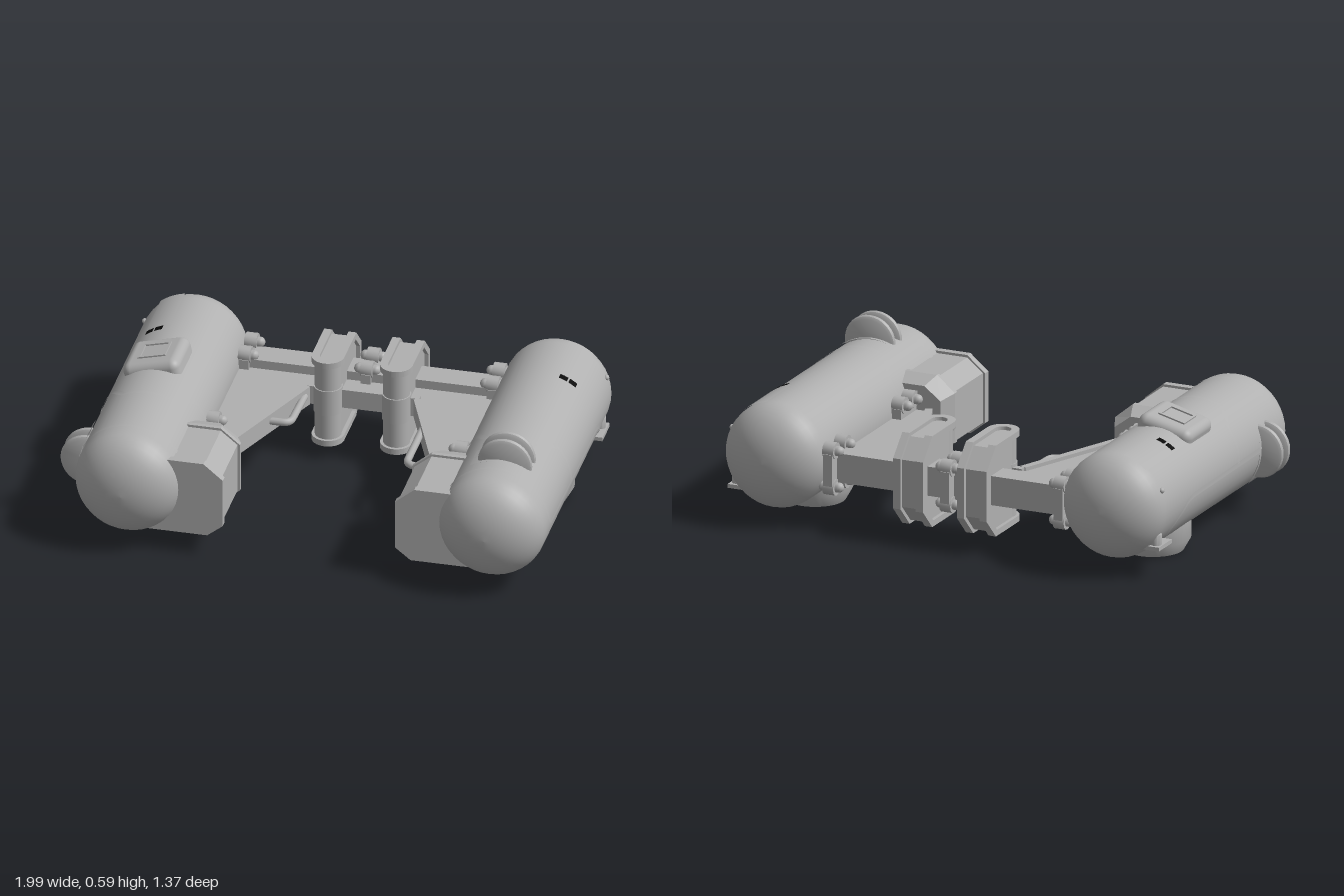
import * as THREE from 'three';
import { toCreasedNormals } from 'three/addons/utils/BufferGeometryUtils.js';
import { RoundedBoxGeometry } from 'three/addons/geometries/RoundedBoxGeometry.js';

const grey = new THREE.MeshStandardMaterial({ color: 0xb0b0b0, side: THREE.DoubleSide });
grey.name = 'grey';
const black = new THREE.MeshStandardMaterial({ color: 0x080808, side: THREE.DoubleSide });
black.name = 'black';

const R = 0.215, TX = 0.733, TY = 0.28; // tank radius and centre
const rad = THREE.MathUtils.degToRad;

function add(parent, name, geo, x = 0, y = 0, z = 0, mat = grey) {
  const m = new THREE.Mesh(geo, mat);
  m.name = name;
  m.position.set(x, y, z);
  parent.add(m);
  return m;
}
const box = (w, h, d) => new THREE.BoxGeometry(w, h, d);
const v2 = (pts) => pts.map(([x, y]) => new THREE.Vector2(x, y));
const lathe = (pts, seg = 32) => toCreasedNormals(new THREE.LatheGeometry(v2(pts), seg), 0.6);
const shapeOf = (pts) => new THREE.Shape(v2(pts));
const prism = (shape, depth) =>
  new THREE.ExtrudeGeometry(shape, { depth, bevelEnabled: false, curveSegments: 16 });

// Curved panel on a tank; angles in degrees from the top towards the outside
function panel(parent, name, s, z0, z1, a0, a1, r, mat = grey) {
  const start = s > 0 ? a0 : -a1;
  const g = new THREE.CylinderGeometry(r, r, z1 - z0, 12, 1, true, rad(start), rad(a1 - a0));
  g.rotateX(-Math.PI / 2);
  add(parent, name, g, s * TX, TY, (z0 + z1) / 2, mat);
}

// Flat strip that follows the tank skin along [z, angle] points
function strip(parent, name, s, pts, width = 0.022, r = R + 0.003) {
  const path = [];
  pts.forEach(([z, a], i) => {
    if (i === pts.length - 1) return path.push([z, rad(a) * r]);
    const [z2, a2] = pts[i + 1], n = Math.max(1, Math.ceil(Math.abs(a2 - a) / 6));
    for (let k = 0; k < n; k++) path.push([z + (z2 - z) * k / n, rad(a + (a2 - a) * k / n) * r]);
  });
  const pos = [], idx = [];
  path.forEach(([z, u], i) => {
    const p = path[Math.max(0, i - 1)], q = path[Math.min(path.length - 1, i + 1)];
    const dz = q[0] - p[0], du = q[1] - p[1], l = Math.hypot(dz, du);
    for (const k of [-1, 1]) {
      const a = (u + k * dz / l * width / 2) / r;
      pos.push(s * r * Math.sin(a), r * Math.cos(a), z - k * du / l * width / 2);
    }
    const b = 2 * i, f = s > 0 ? [b, b + 2, b + 1, b + 1, b + 2, b + 3] : [b, b + 1, b + 2, b + 1, b + 3, b + 2];
    if (i < path.length - 1) idx.push(...f);
  });
  const g = new THREE.BufferGeometry();
  g.setAttribute('position', new THREE.Float32BufferAttribute(pos, 3));
  g.setIndex(idx);
  g.computeVertexNormals();
  add(parent, name, g, s * TX, TY, 0);
}

// Flange plate with four bolts running across it
function boltedFlange(parent, x, zs) {
  const zc = (zs[0] + zs[1]) / 2, len = zs[1] - zs[0];
  add(parent, 'flangePlate', box(0.04, 0.13, len + 0.07), x, 0.255, zc);
  for (const z of zs) for (const y of [0.18, 0.33]) {
    const collar = new THREE.CylinderGeometry(0.034, 0.034, 0.048, 12).rotateZ(Math.PI / 2);
    add(parent, 'boltCollar', toCreasedNormals(collar, 0.6), x, y, z);
    add(parent, 'bolt', new THREE.CapsuleGeometry(0.021, 0.066, 4, 10).rotateZ(Math.PI / 2), x, y, z);
  }
}

function tank(root, s) {
  const g = new THREE.Group();
  g.name = s > 0 ? 'leftTank' : 'rightTank';
  root.add(g);
  // Shell with shallow domed ends
  const prof = [];
  for (let i = 0; i <= 10; i++) {
    const t = -Math.PI / 2 + i / 10 * Math.PI / 2;
    prof.push([Math.max(0, R * Math.cos(t)), -0.535 + 0.152 * Math.sin(t)]);
  }
  const full = [...prof, ...prof.map(([r, y]) => [r, -y]).reverse()];
  add(g, 'shell', new THREE.LatheGeometry(v2(full), 40).rotateX(Math.PI / 2), s * TX, TY, 0);
  // Skin strips, hatch panel and dark markers
  strip(g, 'longStrip', s, [[0.49, -75], [0.49, 82], [0.465, 90], [-0.28, 92], [-0.33, 95],
    [-0.4, 108], [-0.435, 118], [-0.435, 160]]);
  strip(g, 'shortStrip', s, [[0.13, -75], [0.13, -50], [0.22, -28], [0.22, 28], [0.13, 50], [0.13, 90]]);
  panel(g, 'hatchPanel', s, -0.56, -0.32, 11, 40, R + 0.004);
  for (const a of [18, 29]) panel(g, 'marker', s, -0.31, -0.28, a, a + 9, R + 0.004, black);
  // Round foot with recessed sole
  const foot = [[0, 0.02], [0.095, 0.02], [0.1, 0], [0.122, 0], [0.15, 0.05], [0.15, 0.13]];
  add(g, 'foot', lathe(foot), s * TX, 0, -0.195);
  // Small valve on a ledge
  add(g, 'valveLedge', box(0.08, 0.016, 0.12), s * (TX + 0.162), 0.13, -0.51);
  add(g, 'valve', lathe([[0, 0], [0.022, 0], [0.022, 0.045], [0.008, 0.07], [0, 0.07]], 12),
    s * (TX + 0.175), 0.135, -0.535);
  add(g, 'stud', new THREE.SphereGeometry(0.012, 8, 6), s * (TX + 0.198), 0.363, -0.535);

  // Pair of rounded discs, on top of one tank and on the flank of the other
  const a = s > 0 ? 5 : 94;
  const dx = s * R * 0.93 * Math.sin(rad(a)), dy = R * 0.93 * Math.cos(rad(a));
  const disc = [[0, -0.015], [0.095, -0.015], [0.106, -0.009], [0.11, 0], [0.106, 0.009], [0.095, 0.015], [0, 0.015]];
  for (const z of [0.345, 0.405]) {
    add(g, 'disc', lathe(disc).rotateX(Math.PI / 2), s * TX + dx, TY + dy, z);
    panel(g, 'discBase', s, z - 0.029, z + 0.029, a - 37, a + 37, R + 0.007);
  }
}

function pod(root, s) {
  const g = new THREE.Group();
  g.name = s > 0 ? 'leftPod' : 'rightPod';
  root.add(g);
  const slice = (i) => shapeOf([[0.65, 0.09 + i], [0.41, 0.09 + i], [0.347 + i, 0.14], [0.347 + i, 0.345],
    [0.425, 0.41 - i], [0.65, 0.41 - i]].map(([x, y]) => [s * x, y]));
  add(g, 'podBody', prism(slice(0.01), 0.27), 0, 0, 0.28);
  add(g, 'podFrontRim', prism(slice(0), 0.03), 0, 0, 0.545);
  add(g, 'podRearRim', prism(slice(0), 0.018), 0, 0, 0.27);
  // Rear end narrows
  const rear = prism(slice(0), 0.07), p = rear.attributes.position;
  for (let i = 0; i < p.count; i++) if (p.getZ(i) < 0.01) {
    p.setXY(i, s * (0.65 - (0.65 - s * p.getX(i)) * 0.9), 0.25 + (p.getY(i) - 0.25) * 0.82);
  }
  rear.computeVertexNormals();
  add(g, 'podRear', rear, 0, 0, 0.2);
}

function clamp(root, s) {
  const g = new THREE.Group();
  g.name = s > 0 ? 'leftClamp' : 'rightClamp';
  g.position.x = s * 0.138;
  root.add(g);
  const zf = -0.315;
  const c = [[zf, 0.08], [-0.51, 0.08], [-0.585, 0.155], [-0.585, 0.35], [-0.51, 0.425], [zf, 0.425]];
  const o = [[zf, 0.065], [-0.516, 0.065], [-0.6, 0.149], [-0.6, 0.356], [-0.516, 0.44], [zf, 0.44]];
  const i = [[zf, 0.09], [-0.506, 0.09], [-0.575, 0.16], [-0.575, 0.345], [-0.506, 0.415], [zf, 0.415]];
  const side = (pts, w) => prism(shapeOf(pts), w).rotateY(-Math.PI / 2);
  add(g, 'clampBody', side(c, 0.1), 0.05, 0, 0);
  for (const k of [-1, 1])
    add(g, 'clampRim', side([...o, ...i.slice().reverse()], 0.032), k * 0.049 + 0.016, 0, 0);
  add(g, 'clampColumn', new THREE.CylinderGeometry(0.053, 0.053, 0.345, 24), 0, 0.2525, zf);
  add(g, 'clampCollar', new THREE.CylinderGeometry(0.058, 0.058, 0.11, 24), 0, 0.2525, zf);
  // Half-round rim closing the top and bottom loops
  const half = new THREE.Shape();
  half.absarc(0, 0, 0.065, 0, Math.PI, false);
  half.absarc(0, 0, 0.033, Math.PI, 0, true);
  for (const y of [0.44, 0.09]) add(g, 'clampRimEnd', prism(half, 0.025).rotateX(Math.PI / 2), 0, y, zf);
}

export function createModel() {
  const model = new THREE.Group();
  model.name = 'twinTankPack';
  const root = new THREE.Group();
  root.name = 'assembly';
  root.position.x = 0.04;
  model.add(root);

  for (const s of [-1, 1]) {
    tank(root, s);
    pod(root, s);
    clamp(root, s);
    boltedFlange(root, s * 0.5, [-0.54, -0.435]);
    boltedFlange(root, s * 0.5, [0.09, 0.18]);
    // Diagonal rim of the web plate
    const dx = -0.2, dz = 0.5, len = Math.hypot(dx, dz);
    const rim = add(root, 'webRim', box(0.03, 0.08, len), s * 0.323, 0.255, -0.06);
    rim.rotation.y = s * Math.atan2(0.2, 0.5);
  }
  boltedFlange(root, -0.008, [-0.54, -0.435]);

  // Cross beam and web plate
  add(root, 'crossBeam', box(1.1, 0.12, 0.11), 0, 0.257, -0.475);
  const web = shapeOf([[-0.55, -0.45], [0.55, -0.45], [0.55, 0.2], [0.42, 0.2], [0.22, -0.31],
    [-0.22, -0.31], [-0.42, 0.2], [-0.55, 0.2]]);
  add(root, 'webPlate', prism(web, 0.05).rotateX(Math.PI / 2), 0, 0.28, 0);
  add(root, 'webFrontRim', box(0.46, 0.08, 0.03), 0, 0.255, -0.325);

  // Bent pipes beside the web
  const pipe = (pts) => {
    const path = new THREE.CurvePath(), p = pts.map(([x, z]) => new THREE.Vector3(x, 0.262, z));
    path.add(new THREE.LineCurve3(p[0], p[1]));
    path.add(new THREE.QuadraticBezierCurve3(p[1], p[2], p[3]));
    path.add(new THREE.LineCurve3(p[3], p[4]));
    add(root, 'bentPipe', new THREE.TubeGeometry(path, 40, 0.015, 10));
  };
  pipe([[-0.225, -0.28], [-0.23, -0.1], [-0.232, -0.065], [-0.265, -0.065], [-0.32, -0.065]]);
  pipe([[0.285, -0.18], [0.285, 0.1], [0.285, 0.145], [0.33, 0.145], [0.41, 0.145]]);

  // Tilted housing with a framed window on the right tank
  const housing = new THREE.Group();
  housing.name = 'topHousing';
  housing.position.set(-0.765, 0.465, -0.07);
  housing.rotation.z = 0.25;
  root.add(housing);
  add(housing, 'housingBody', new RoundedBoxGeometry(0.235, 0.1, 0.23, 4, 0.035));
  const frame = shapeOf([[-0.058, -0.055], [0.058, -0.055], [0.058, 0.055], [-0.058, 0.055]]);
  frame.holes.push(new THREE.Path(v2([[-0.048, -0.045], [-0.048, 0.045], [0.048, 0.045], [0.048, -0.045]])));
  add(housing, 'housingFrame', prism(frame, 0.012).rotateX(Math.PI / 2), 0, 0.056, 0);
  return model;
}
